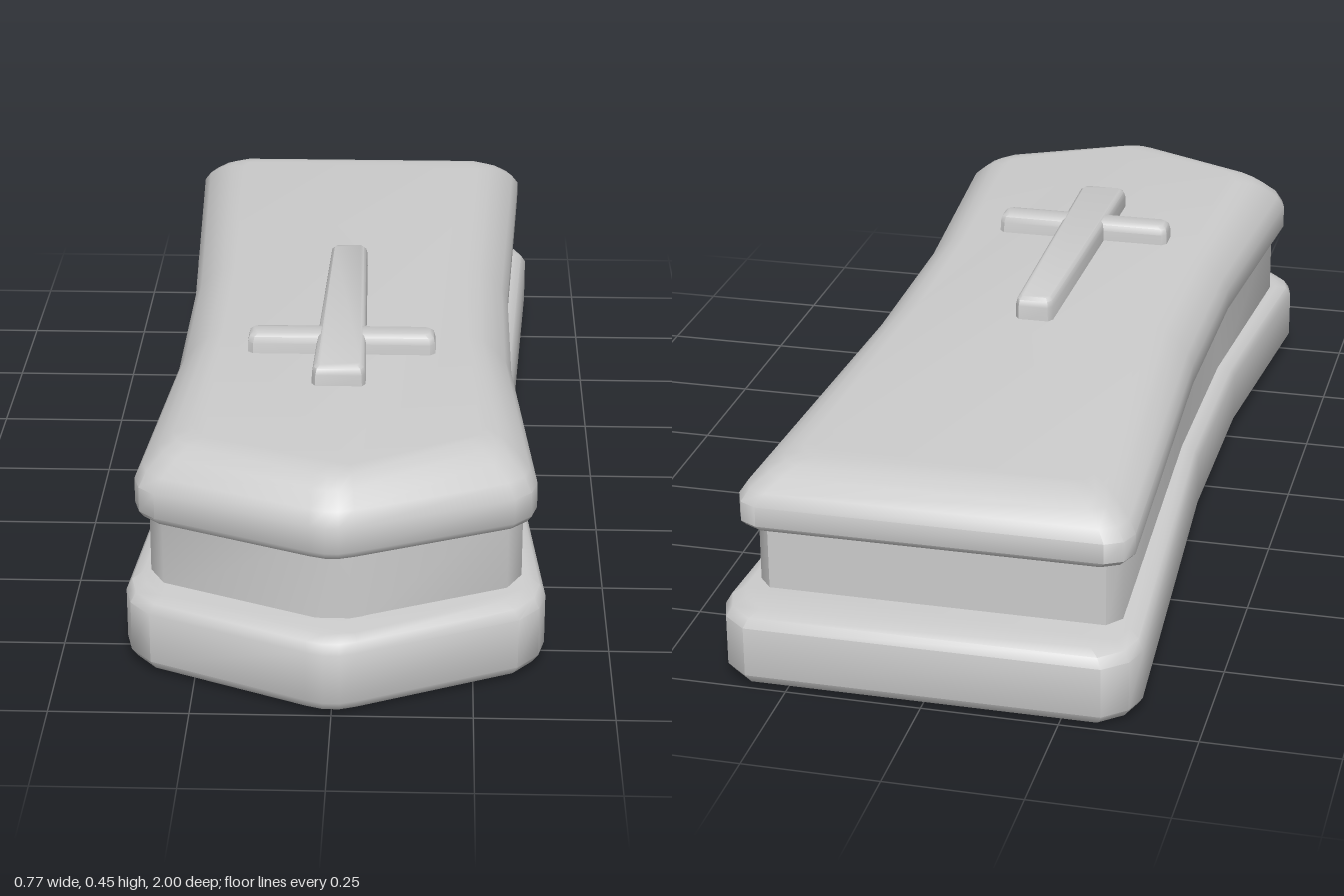
import * as THREE from 'three';
import { toCreasedNormals } from 'three/addons/utils/BufferGeometryUtils.js';

const material = new THREE.MeshStandardMaterial({ color: 0xcccccc });

// Mirrors one side of an outline (+x side, back to front, [x, z]) to a closed loop
const mirror = (half) => [...half, ...half.map(([x, z]) => [-x, z]).reverse()];

// Stacks inset copies of an outline: rings are [y, inset], bottom to top, with both ends capped
function loft(name, outline, rings, bend = () => 0, crease = 0.75) {
  const xs = outline.map((p) => p[0]), zs = outline.map((p) => p[1]);
  const x0 = (Math.max(...xs) + Math.min(...xs)) / 2, rx = Math.max(...xs) - x0;
  const z0 = (Math.max(...zs) + Math.min(...zs)) / 2, rz = Math.max(...zs) - z0;
  const n = outline.length, pos = [], index = [];
  for (const [y, d] of rings) {
    for (const [px, pz] of outline) {
      const x = x0 + (px - x0) * (1 - d / rx), z = z0 + (pz - z0) * (1 - d / rz);
      pos.push(x, y + bend(z, y), z);
    }
  }
  for (let r = 0; r < rings.length - 1; r++) {
    for (let i = 0; i < n; i++) {
      const a = r * n + i, b = r * n + (i + 1) % n;
      index.push(a, a + n, b, b, a + n, b + n);
    }
  }
  // End caps, wound to face down and up
  const contour = outline.map(([x, z]) => new THREE.Vector2(x, z));
  const top = (rings.length - 1) * n;
  for (const [a, b, c] of THREE.ShapeUtils.triangulateShape(contour, [])) {
    const [A, B, C] = [contour[a], contour[b], contour[c]];
    const facesDown = (B.x - A.x) * (C.y - A.y) - (B.y - A.y) * (C.x - A.x) > 0;
    const [p, q] = facesDown ? [b, c] : [c, b];
    index.push(a, p, q, a + top, q + top, p + top);
  }
  const geo = new THREE.BufferGeometry();
  geo.setAttribute('position', new THREE.Float32BufferAttribute(pos, 3));
  geo.setIndex(index);
  const mesh = new THREE.Mesh(toCreasedNormals(geo, crease), material);
  mesh.name = name;
  return mesh;
}

export function createModel() {
  const group = new THREE.Group();
  group.name = 'coffin';

  // Waisted plinth with a pointed front, arched slightly along its length
  const baseOutline = mirror([
    [0.325, -1], [0.368, -0.965], [0.384, -0.92], [0.339, -0.15], [0.339, 0.27],
    [0.38, 0.77], [0.368, 0.82], [0.33, 0.865], [0.045, 0.99], [0.015, 1],
  ]);
  group.add(loft('base', baseOutline,
    [[0, 0.025], [0.008, 0.01], [0.025, 0], [0.12, 0], [0.137, 0.01], [0.145, 0.03]],
    (z) => 0.013 * (1 - z * z)));

  // Straight recessed walls
  const bodyOutline = mirror([
    [0.31, -0.89], [0.335, -0.86], [0.305, -0.15], [0.305, 0.25],
    [0.337, 0.74], [0.31, 0.79], [0.03, 0.91],
  ]);
  group.add(loft('body', bodyOutline, [[0.13, 0], [0.3, 0]]));

  // Overhanging lid with a rounded shoulder, lower toward the back
  const lidOutline = mirror([
    [0.315, -0.937], [0.347, -0.92], [0.361, -0.885], [0.324, -0.15], [0.324, 0.25],
    [0.361, 0.755], [0.35, 0.795], [0.32, 0.825], [0.04, 0.945], [0.012, 0.954],
  ]);
  group.add(loft('lid', lidOutline,
    [[0.277, 0.022], [0.282, 0.008], [0.295, 0], [0.342, 0], [0.368, 0.014],
      [0.395, 0.042], [0.411, 0.066], [0.419, 0.095]],
    (z, y) => -0.016 * (0.8 - z) * Math.max(0, (y - 0.28) / 0.14)));

  // Raised cross: tapering upright and a shorter crossbar, both with softened tops
  const cross = new THREE.Group();
  cross.name = 'cross';
  const bevel = [[0.385, 0], [0.432, 0.001], [0.444, 0.004], [0.45, 0.011]];
  const upright = mirror([
    [0.03, -0.162], [0.038, -0.15], [0.051, 0.487], [0.044, 0.499],
  ]);
  cross.add(loft('upright', upright, bevel, (z) => 0.006 * z));
  const bar = mirror([[0.17, 0.28], [0.18, 0.29], [0.18, 0.331], [0.17, 0.341]]);
  cross.add(loft('crossbar', bar, bevel));
  cross.position.x = -0.004;
  group.add(cross);

  return group;
}
